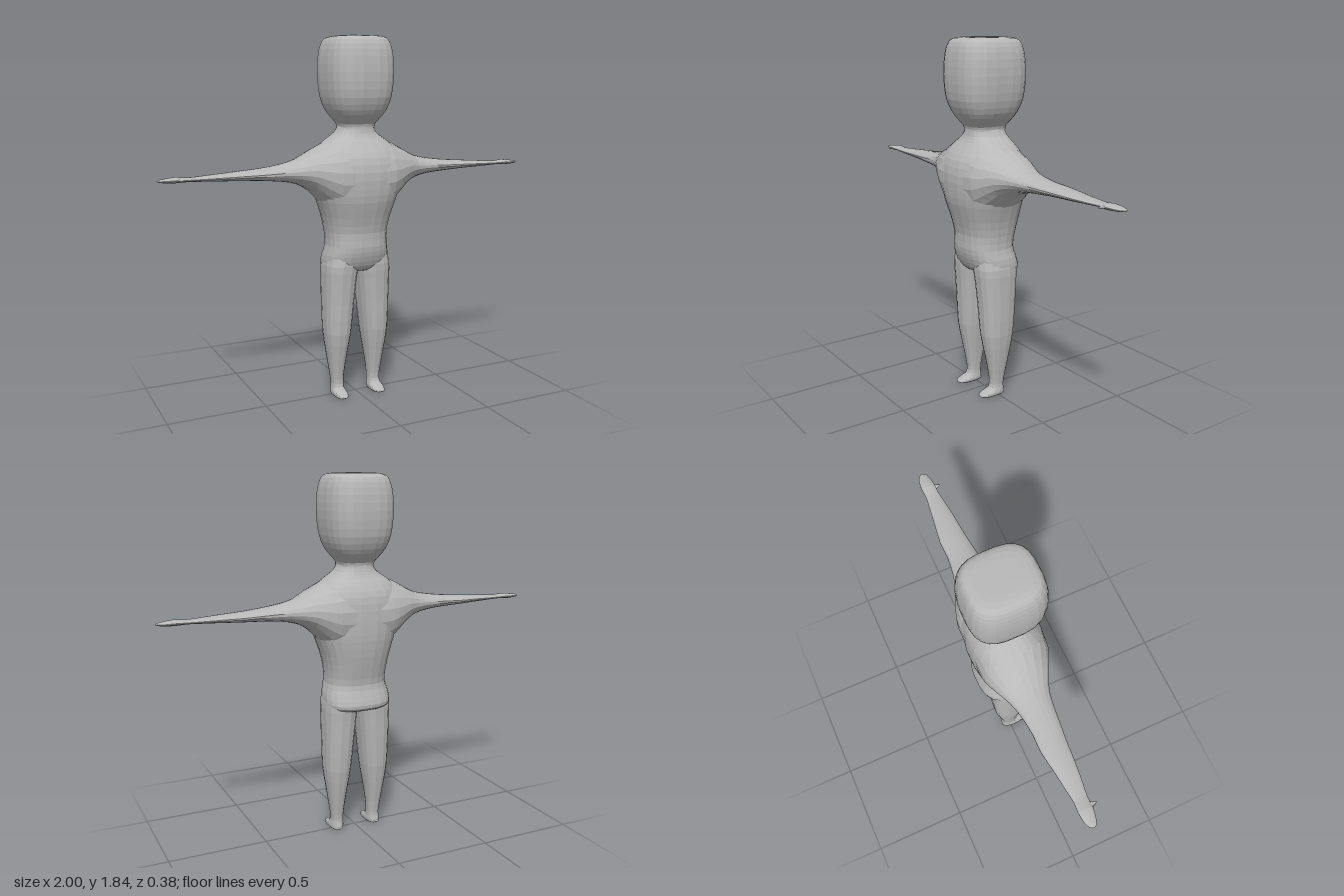
import * as THREE from 'three';

const skin = new THREE.MeshStandardMaterial({ color: 0xb8b8b8, flatShading: true });
skin.name = 'plain grey';

// Smoothly adds rows between the given cross-sections
function refine(rows, steps) {
  const out = [];
  const at = (i) => rows[Math.min(Math.max(i, 0), rows.length - 1)];
  for (let i = 0; i < rows.length - 1; i++) {
    for (let s = 0; s < steps; s++) {
      const t = s / steps;
      out.push(rows[i].map((p1, k) => {
        const p0 = at(i - 1)[k], p2 = at(i + 1)[k], p3 = at(i + 2)[k];
        const m1 = (p2 - p0) / 2, m2 = (p3 - p1) / 2;
        return (2 * t ** 3 - 3 * t ** 2 + 1) * p1 + (t ** 3 - 2 * t ** 2 + t) * m1 +
          (3 * t ** 2 - 2 * t ** 3) * p2 + (t ** 3 - t ** 2) * m2;
      }));
    }
  }
  out.push(rows[rows.length - 1]);
  return out;
}

// Rows: [position on axis, uMin, uMax, vMin, vMax]; axis 'y' uses (x, z), axis 'x' uses (z, y)
function loft(name, rows, axis, power, sides = 24, steps = 2) {
  const pos = [], index = [];
  const bend = (c) => Math.sign(c) * Math.abs(c) ** (2 / power);
  const rings = refine(rows, steps);
  rings.forEach(([p, u0, u1, v0, v1], i) => {
    for (let j = 0; j < sides; j++) {
      const a = ((j + 0.5) / sides) * Math.PI * 2;
      const u = (u0 + u1) / 2 + bend(Math.cos(a)) * (u1 - u0) / 2;
      const v = (v0 + v1) / 2 + bend(Math.sin(a)) * (v1 - v0) / 2;
      if (axis === 'y') pos.push(u, p, v); else pos.push(p, v, u);
      if (i < rings.length - 1) {
        const n = (j + 1) % sides, b = i * sides;
        index.push(b + j, b + sides + j, b + n, b + n, b + sides + j, b + sides + n);
      }
    }
  });
  // On the x axis (z, y) runs the other way round from (x, z) on the y axis
  const g = new THREE.BufferGeometry();
  g.setAttribute('position', new THREE.Float32BufferAttribute(pos, 3));
  g.setIndex(index);
  if (axis === 'x') flipIfInward(g);
  g.computeVertexNormals();
  const mesh = new THREE.Mesh(g, skin);
  mesh.name = name;
  return mesh;
}

// Reverses the corner order when the enclosed volume is negative
function flipIfInward(g) {
  const p = g.attributes.position, ix = g.index.array;
  const [a, b, c] = [0, 1, 2].map(() => new THREE.Vector3());
  let volume = 0;
  for (let i = 0; i < ix.length; i += 3) {
    a.fromBufferAttribute(p, ix[i]);
    b.fromBufferAttribute(p, ix[i + 1]);
    c.fromBufferAttribute(p, ix[i + 2]);
    volume += a.dot(b.cross(c));
  }
  if (volume < 0) for (let i = 0; i < ix.length; i += 3) [ix[i], ix[i + 1]] = [ix[i + 1], ix[i]];
}

export function createModel() {
  const model = new THREE.Group();
  model.name = 'figure';
  const upright = ([y, hx, back, front]) => [y, -hx, hx, back, front];

  // Head: [y, half width, back, front]
  model.add(loft('head', [
    [1.39, 0.085, -0.097, 0.097], [1.41, 0.088, -0.1, 0.1], [1.44, 0.112, -0.125, 0.125],
    [1.48, 0.14, -0.152, 0.152], [1.54, 0.16, -0.176, 0.176], [1.62, 0.17, -0.186, 0.186],
    [1.7, 0.171, -0.186, 0.186], [1.77, 0.163, -0.178, 0.178], [1.815, 0.147, -0.163, 0.163],
    [1.832, 0.125, -0.14, 0.14], [1.838, 0.08, -0.09, 0.09], [1.839, 0, 0, 0],
  ].map(upright), 'y', 3));

  // Torso from the crotch and buttocks up to the neck
  model.add(loft('torso', [
    [0.662, 0, -0.03, -0.03], [0.664, 0.11, -0.11, 0.06], [0.675, 0.155, -0.143, 0.09],
    [0.7, 0.172, -0.152, 0.112], [0.75, 0.168, -0.138, 0.132], [0.8, 0.156, -0.127, 0.141],
    [0.87, 0.158, -0.14, 0.141], [0.95, 0.174, -0.157, 0.16], [1.03, 0.2, -0.169, 0.183],
    [1.1, 0.22, -0.173, 0.193], [1.18, 0.23, -0.172, 0.194], [1.25, 0.22, -0.163, 0.176],
    [1.3, 0.19, -0.141, 0.143], [1.335, 0.145, -0.118, 0.117], [1.365, 0.103, -0.104, 0.102],
    [1.395, 0.085, -0.097, 0.097],
  ].map(upright), 'y', 2.5));

  // Shoulders, arms and hands in one span: [x, back, front, bottom, top]
  const arm = [
    [0.1, -0.17, 0.188, 0.96, 1.345], [0.17, -0.165, 0.172, 1.0, 1.32],
    [0.25, -0.138, 0.135, 1.08, 1.28], [0.32, -0.107, 0.1, 1.12, 1.243],
    [0.4, -0.085, 0.08, 1.138, 1.222], [0.5, -0.073, 0.07, 1.147, 1.208],
    [0.59, -0.074, 0.06, 1.152, 1.2], [0.7, -0.058, 0.052, 1.157, 1.192],
    [0.8, -0.045, 0.041, 1.161, 1.185], [0.86, -0.037, 0.033, 1.163, 1.182],
    [0.91, -0.04, 0.034, 1.16, 1.187], [0.96, -0.034, 0.026, 1.162, 1.182],
    [0.99, -0.021, 0.014, 1.166, 1.177], [1.0, -0.003, -0.003, 1.171, 1.171],
  ];
  const otherArm = arm.map(([x, ...rest]) => [-x, ...rest]).reverse();
  model.add(loft('shouldersAndArms', [...otherArm, ...arm], 'x', 2, 20));

  // Legs with feet: [y, inner x, outer x, back, front]
  const leg = [
    [0, 0.105, 0.105, 0.03, 0.03], [0.001, 0.074, 0.137, -0.04, 0.096],
    [0.012, 0.07, 0.141, -0.045, 0.102], [0.022, 0.07, 0.141, -0.044, 0.085],
    [0.034, 0.073, 0.138, -0.041, 0.05], [0.06, 0.075, 0.135, -0.039, 0.035],
    [0.12, 0.071, 0.142, -0.048, 0.041], [0.22, 0.058, 0.156, -0.068, 0.06],
    [0.34, 0.04, 0.171, -0.089, 0.083], [0.5, 0.024, 0.175, -0.102, 0.093],
    [0.62, 0.012, 0.176, -0.11, 0.103], [0.7, 0.004, 0.174, -0.115, 0.11],
    [0.78, 0.01, 0.15, -0.1, 0.1],
  ];
  for (const side of [1, -1]) {
    const label = side > 0 ? 'left' : 'right';
    const rows = side > 0 ? leg : leg.map(([y, a, b, ...z]) => [y, -b, -a, ...z]);
    model.add(loft(label + 'Leg', rows, 'y', 2.6, 16));

    // Thumb pointing forward from the hand
    const thumb = new THREE.Mesh(new THREE.ConeGeometry(0.032, 0.055, 8), skin);
    thumb.name = label + 'Thumb';
    thumb.rotation.x = Math.PI / 2;
    thumb.scale.z = 0.32;
    thumb.position.set(side * 0.9, 1.173, 0.034);
    model.add(thumb);
  }
  return model;
}
